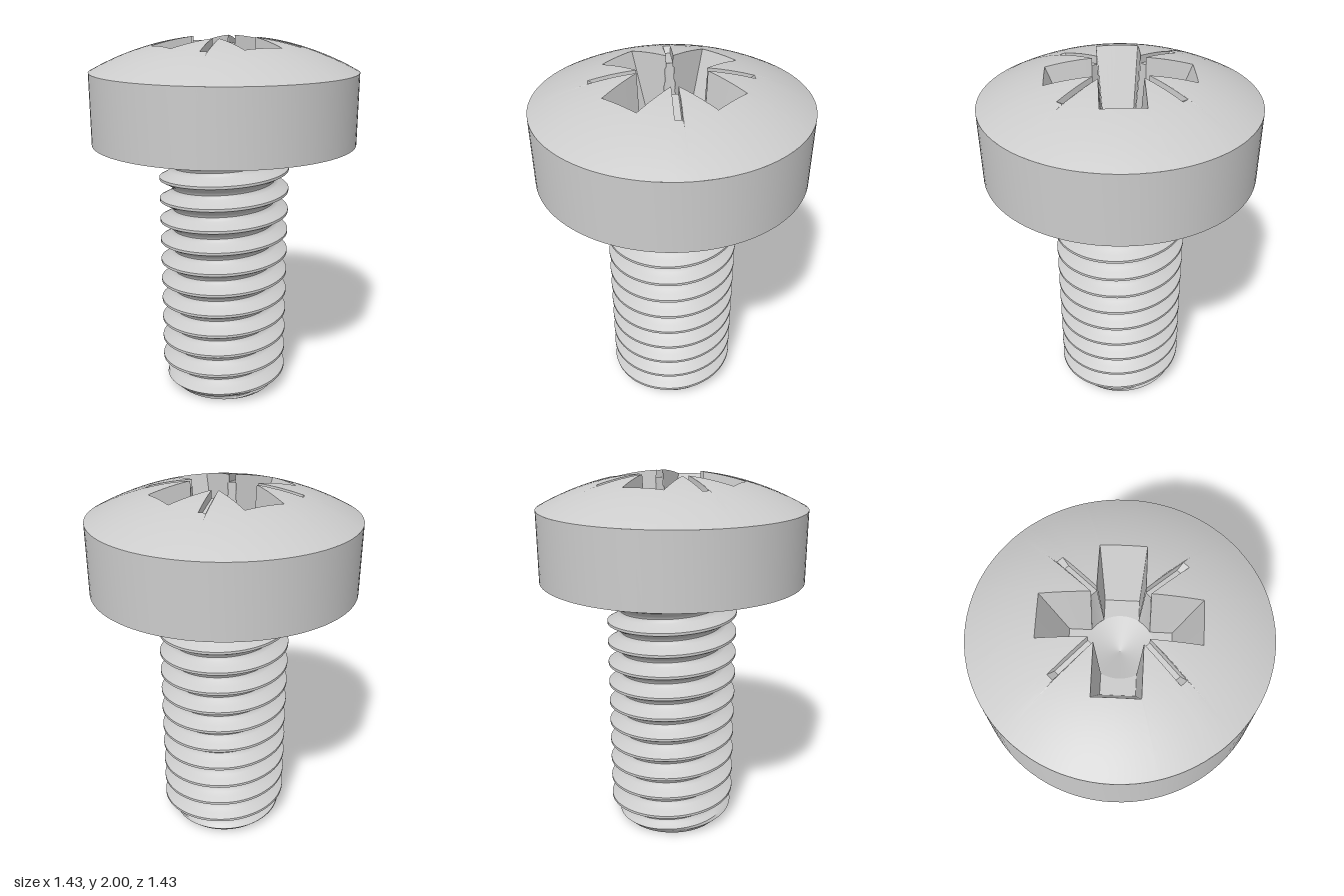
import * as THREE from 'three';
import { toCreasedNormals } from 'three/addons/utils/BufferGeometryUtils.js';

const HEAD_R = 0.717, HEAD_BOTTOM = 1.445, RIM_Y = 1.825, DOME_TOP = 2.01;
const RISE = DOME_TOP - RIM_Y;
const DOME_R = (HEAD_R ** 2 + RISE ** 2) / (2 * RISE);
const FLOOR_Y = 1.65, CORE_R = 0.165;
const PITCH = 0.12;

const v = (x, y, z) => new THREE.Vector3(x, y, z);
const domeY = (x, z) => DOME_TOP - DOME_R + Math.sqrt(DOME_R ** 2 - x * x - z * z);
const onDome = (x, z) => v(x, domeY(x, z), z);

// Points along a straight line; optionally lifted onto the dome
function line(p, q, n, lift = false) {
  return Array.from({ length: n + 1 }, (_, i) => {
    const s = p.clone().lerp(q, i / n);
    return lift ? onDome(s.x, s.z) : s;
  });
}

// Band of triangles between two point rows of equal length
function strip(out, a, b) {
  const tri = (p, q, r) => {
    const area = q.clone().sub(p).cross(r.clone().sub(p)).length();
    if (area > 1e-9) out.push(p, q, r);
  };
  for (let i = 0; i < a.length - 1; i++) {
    tri(a[i], a[i + 1], b[i + 1]);
    tri(a[i], b[i + 1], b[i]);
  }
}

function meshFrom(points, name, material, crease = 0.5) {
  const geo = new THREE.BufferGeometry().setFromPoints(points);
  return named(toCreasedNormals(geo, crease), name, material);
}

function named(geo, name, material) {
  const mesh = new THREE.Mesh(geo, material);
  mesh.name = name;
  return mesh;
}

// One quarter of the cross recess (arm along +x, marking groove at 45 degrees)
function quarter(dome, recess, grooves) {
  const A = onDome(0.373, -0.11), B = onDome(0.373, 0.11);
  const C = onDome(0.135, 0.11), D = onDome(0.11, 0.135);
  const O1 = onDome(0.303, 0.277), O2 = onDome(0.277, 0.303);
  const E = onDome(0.11, 0.373);
  const a = v(0.25, FLOOR_Y, -0.085), b = v(0.25, FLOOR_Y, 0.085), e = v(0.085, FLOOR_Y, 0.25);
  const corner = Math.asin(0.085 / CORE_R);
  const arc = (t0, t1, n) => Array.from({ length: n + 1 }, (_, i) => {
    const t = t0 + (t1 - t0) * i / n;
    return v(CORE_R * Math.cos(t), FLOOR_Y, CORE_R * Math.sin(t));
  });
  const coreArc = arc(corner, Math.PI / 2 - corner, 6);

  // Top outline and the domed surface from it out to the rim
  const end = line(A, B, 8, true), side1 = line(B, C, 8, true), side2 = line(D, E, 8, true);
  const g1 = line(C, O1, 4, true), gEnd = line(O1, O2, 2, true), g2 = line(O2, D, 4, true);
  const outline = [end, side1, g1, gEnd, g2, side2].flatMap((s, i) => (i ? s.slice(1) : s));
  const row = (k) => outline.map((p) => {
    const r = Math.hypot(p.x, p.z), s = (r + (HEAD_R - r) * k) / r;
    return onDome(p.x * s, p.z * s);
  });
  for (let k = 0; k < 10; k++) strip(dome, row(k / 10), row((k + 1) / 10));

  // Arm walls, arm floor and the core wall between arms
  strip(recess, line(a, b, 8), end);
  strip(recess, line(b, coreArc[0], 8), side1);
  strip(recess, line(coreArc[6], e, 8), side2);
  strip(recess, arc(-corner, corner, 8), line(a, b, 8));
  const depth = v(0, -0.04, 0);
  const cLow = C.clone().add(depth), dLow = D.clone().add(depth);
  strip(recess, coreArc, line(cLow, dLow, 6));

  // Shallow marking groove
  const F1 = v(0.274, 0, 0.250), F2 = v(0.250, 0, 0.274);
  F1.y = F2.y = domeY(F1.x, F1.z) - 0.035;
  strip(grooves, [cLow, dLow], [F1, F2]);
  strip(grooves, line(F1, F2, 2), gEnd);
  strip(grooves, line(cLow, F1, 4), g1);
  strip(grooves, line(F2, dLow, 4), g2);
}

// Thread radius at a height and a position within one pitch
const PROFILE = [[0, 0.36], [0.06, 0.36], [0.2, 0.33], [0.33, 0.302], [0.41, 0.291], [0.5, 0.287],
  [0.59, 0.291], [0.67, 0.302], [0.8, 0.33], [0.94, 0.36]];

function shaftRadius(r, y) {
  const fade = THREE.MathUtils.smoothstep(y, 1.35, 1.41);
  r = Math.max(r, THREE.MathUtils.lerp(0.287, 0.35, fade));
  const f = Math.max(0, y - (HEAD_BOTTOM - 0.035));
  r += 0.035 - Math.sqrt(Math.max(0, 0.035 ** 2 - f * f));
  return Math.min(r, 0.287 + y);
}

// Helical rows of the threaded shaft, trimmed at both ends
function shaftPoints() {
  const rows = [], N = 80, phase = 1.37 - PITCH / 2;
  for (let k = -13; k <= 1; k++) {
    for (const [t, r] of PROFILE) {
      rows.push(Array.from({ length: N + 1 }, (_, i) => {
        const ang = (i / N) * Math.PI * 2;
        const raw = phase + (k + t + i / N) * PITCH;
        const y = THREE.MathUtils.clamp(raw, 0, HEAD_BOTTOM);
        const rad = shaftRadius(r, y);
        return v(rad * Math.cos(ang), y, -rad * Math.sin(ang));
      }));
    }
  }
  const out = [];
  for (let i = 0; i < rows.length - 1; i++) strip(out, rows[i], rows[i + 1]);
  return out;
}

export function createModel() {
  const group = new THREE.Group();
  group.name = 'screw';
  const mat = new THREE.MeshStandardMaterial({ color: 0xcccccc });

  // Head: flat underside and cylindrical side
  const head = new THREE.Group();
  head.name = 'head';
  const sideProfile = [[0.3, HEAD_BOTTOM], [HEAD_R, HEAD_BOTTOM], [HEAD_R, RIM_Y]]
    .map(([x, y]) => new THREE.Vector2(x, y));
  head.add(named(toCreasedNormals(new THREE.LatheGeometry(sideProfile, 96), 0.5), 'headSide', mat));

  // Domed top with the cross recess and four marking grooves
  const dome = [], recess = [], grooves = [];
  quarter(dome, recess, grooves);
  const parts = [[dome, 'headDome', 0.5], [recess, 'crossRecess', 0.2], [grooves, 'markingGrooves', 0.2]];
  for (const [points, name, crease] of parts) {
    for (let i = 0; i < 4; i++) {
      const mesh = meshFrom(points, name, mat, crease);
      mesh.rotation.y = i * Math.PI / 2;
      head.add(mesh);
    }
  }

  // Conical bottom of the recess
  const cone = [new THREE.Vector2(CORE_R, FLOOR_Y), new THREE.Vector2(0, FLOOR_Y - 0.06)];
  head.add(named(new THREE.LatheGeometry(cone, 64), 'recessCone', mat));
  group.add(head);

  // Threaded shaft and its flat tip
  group.add(meshFrom(shaftPoints(), 'threadedShaft', mat, 0.6));
  const tip = named(new THREE.CircleGeometry(0.287, 80), 'shaftTip', mat);
  tip.rotation.x = Math.PI / 2;
  group.add(tip);
  return group;
}
